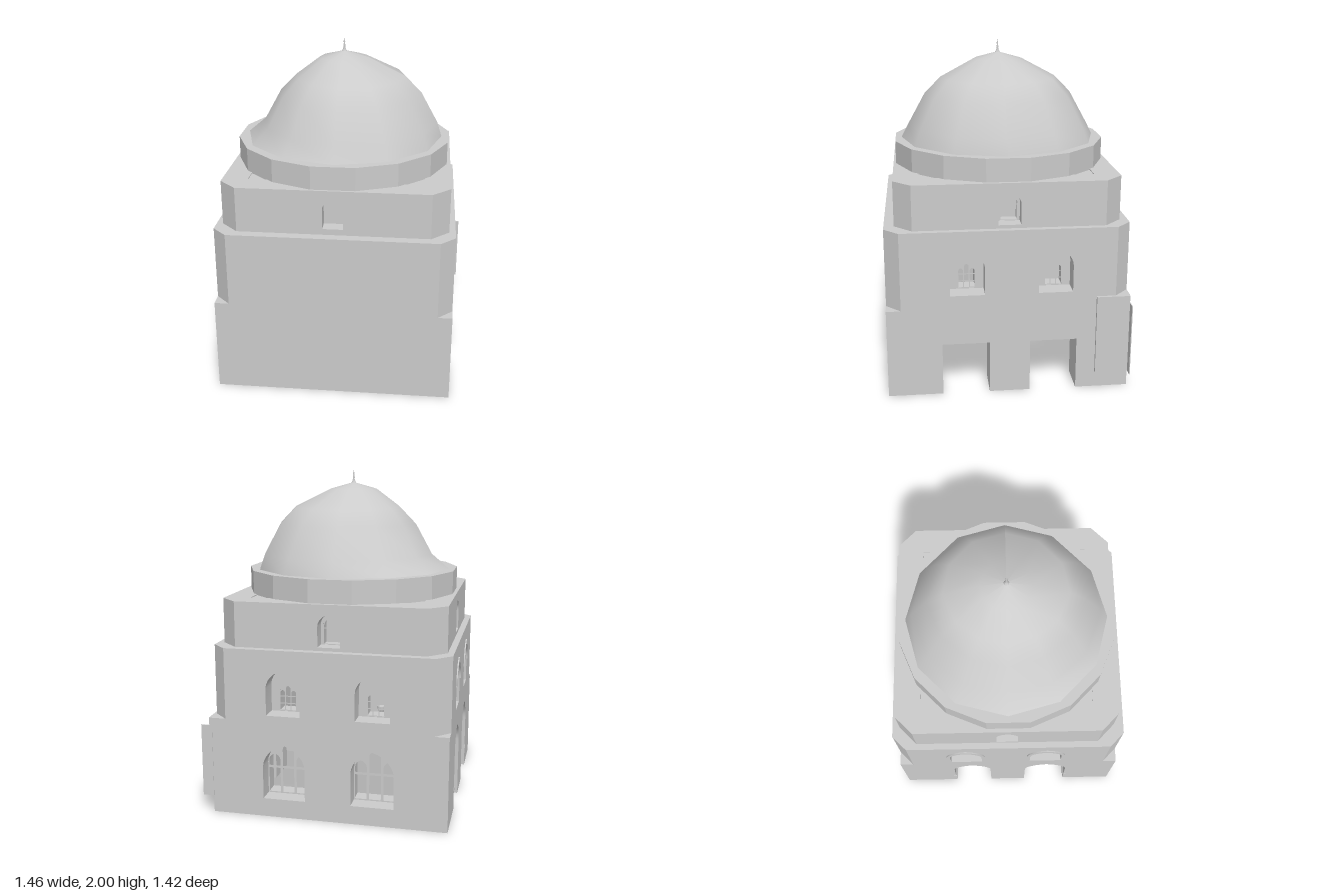
import * as THREE from 'three';
import { toCreasedNormals } from 'three/addons/utils/BufferGeometryUtils.js';

const stone = new THREE.MeshStandardMaterial({ color: 0xcccccc });
const shell = new THREE.MeshStandardMaterial({ color: 0xcccccc, side: THREE.DoubleSide });
const CX = -0.033;

function add(parent, name, geometry, x = 0, y = 0, z = 0, material = stone) {
  const mesh = new THREE.Mesh(geometry, material);
  mesh.name = name;
  mesh.position.set(x, y, z);
  parent.add(mesh);
  return mesh;
}

const box = (parent, name, w, h, d, x, y, z) => add(parent, name, new THREE.BoxGeometry(w, h, d), x, y, z);

const extrude = (shape, depth) =>
  toCreasedNormals(new THREE.ExtrudeGeometry(shape, { depth, bevelEnabled: false }), 0.5);

const lathe = (points, sides) =>
  toCreasedNormals(new THREE.LatheGeometry(points.map((p) => new THREE.Vector2(...p)), sides), 0.6);

// Opening outline, from bottom left over the top to bottom right
function opening({ u, y, w, h, flat }) {
  const rise = flat ? 0 : 0.55 * w, n = flat ? 1 : 12;
  const pts = [new THREE.Vector2(u - w / 2, y)];
  for (let i = 0; i <= n; i++) {
    const a = (Math.PI * i) / n;
    const up = 0.8 * Math.sin(a) + 0.2 * (1 - Math.abs(Math.cos(a)));
    pts.push(new THREE.Vector2(u - (w / 2) * Math.cos(a), y + h - rise + rise * up));
  }
  pts.push(new THREE.Vector2(u + w / 2, y));
  return pts;
}

// Wall panel: doors cut the bottom edge, windows are holes
function panel(w, y0, y1, doors, windows) {
  const pts = [new THREE.Vector2(-w / 2, y0)];
  doors.forEach((d) => pts.push(...opening(d)));
  pts.push(new THREE.Vector2(w / 2, y0), new THREE.Vector2(w / 2, y1), new THREE.Vector2(-w / 2, y1));
  const shape = new THREE.Shape(pts);
  windows.forEach((o) => shape.holes.push(new THREE.Path(opening(o))));
  return shape;
}

// Window tracery: rows of panes under pointed lancets, the middle one taller
function tracery(parent, o, z, cols, rows) {
  const shape = new THREE.Shape(opening(o));
  const spring = o.h - 0.55 * o.w, bar = 0.06 * o.w, cw = o.w / cols;
  const step = (spring * 0.85) / rows;
  for (let c = 0; c < cols; c++) {
    const u = o.u - o.w / 2 + (c + 0.5) * cw;
    const top = spring + (c === (cols - 1) / 2 ? 0.46 : 0.2) * o.w;
    for (let r = 0; r <= rows; r++) {
      const y = o.y + r * step + bar / 2, last = r === rows;
      const h = last ? top - r * step - bar / 2 : step - bar;
      shape.holes.push(new THREE.Path(opening({ u, y, w: cw - bar, h, flat: !last })));
    }
  }
  add(parent, 'windowTracery', extrude(shape, 0.012), 0, 0, z);
}

// Two-layer wall: wide niches outside, small openings inside; faces +z locally
function wall(name, w, y0, y1, t, { doors = [], niches = [], lights = [], through = [], panes = [3, 2] }) {
  const g = new THREE.Group();
  g.name = name;
  const inner = t * 0.45;
  add(g, name + 'Outer', extrude(panel(w, y0, y1, doors, [...niches, ...through]), t - inner), 0, 0, inner - t);
  add(g, name + 'Inner', extrude(panel(w, y0, y1, doors, [...lights, ...through]), inner), 0, 0, -t);
  lights.forEach((o) => tracery(g, o, inner - t - 0.015, ...panes));
  through.forEach((o) => tracery(g, o, -t * 0.55, 3, 1));
  return g;
}

// Corner posts: square below the cut height, chamfered above
function posts(parent, hx, hz, y0, y1, t, c, cuts) {
  const v = [[-t, -t], [0, -t], [0, -c], [-c, 0], [-t, 0]].map((p) => new THREE.Vector2(...p));
  [[1, -1], [-1, -1], [-1, 1], [1, 1]].forEach(([sx, sz], i) => {
    const cut = cuts[i];
    const geo = extrude(new THREE.Shape(v), y1 - cut).rotateX(-Math.PI / 2);
    add(parent, 'chamferedCorner', geo, sx * hx, cut, sz * hz).rotation.y = (i * Math.PI) / 2;
    if (cut > y0) box(parent, 'cornerBase', t, cut - y0, t, sx * (hx - t / 2), (y0 + cut) / 2, sz * (hz - t / 2));
  });
}

// One storey of four walls, ordered front, right, back, left
function storey(parent, name, hx, hz, y0, y1, t, c, cuts, specs) {
  const g = new THREE.Group();
  g.name = name;
  posts(g, hx, hz, y0, y1, t, c, cuts);
  const sides = ['front', 'right', 'back', 'left'].map((side, i) => {
    const along = i % 2 ? hz : hx, out = i % 2 ? hx : hz;
    const wg = wall(side + 'Wall', 2 * (along - t), y0, y1, t, specs[i]);
    wg.rotation.y = (i * Math.PI) / 2;
    wg.position.set(out * Math.sin(wg.rotation.y), 0, out * Math.cos(wg.rotation.y));
    g.add(wg);
    return wg;
  });
  parent.add(g);
  return { group: g, sides };
}

function ring(n, radius, hole) {
  const pts = [];
  for (let i = 0; i < n; i++) {
    const a = (2 * Math.PI * (i + 0.5)) / n;
    pts.push(new THREE.Vector2(radius * Math.cos(a), radius * Math.sin(a)));
  }
  const shape = new THREE.Shape(pts);
  shape.holes.push(new THREE.Path().absarc(0, 0, hole, 0, Math.PI * 2, true));
  return shape;
}

export function createModel() {
  const root = new THREE.Group();
  root.name = 'domedHall';
  const hall = new THREE.Group();
  hall.name = 'hall';
  hall.position.x = CX;
  root.add(hall);

  // Lower storey
  const pair = (o, us) => us.map((u) => ({ ...o, u }));
  const niche = { y: 0.615, w: 0.2, h: 0.27 }, light = { y: 0.62, w: 0.1, h: 0.155 };
  const upper = (us) => ({ niches: pair(niche, us), lights: pair(light, us) });
  const lower = storey(hall, 'lowerStorey', 0.693, 0.708, 0, 1, 0.2, 0.085, [0.58, 0.56, 0.56, 0.535], [
    {},
    { ...upper([-0.24, 0.27]), doors: pair({ y: 0, w: 0.275, h: 0.315, flat: true }, [-0.252, 0.26]) },
    { ...upper([-0.26, 0.26]), through: pair({ y: 0.11, w: 0.25, h: 0.33 }, [-0.26, 0.26]) },
    { ...upper([-0.27, 0.24]), doors: [{ u: -0.242, y: 0, w: 0.245, h: 0.49 }, { u: 0.252, y: 0, w: 0.275, h: 0.49 }] },
  ]).sides;

  // Hood mouldings over the left upper windows, and mouldings on the pier faces
  for (const u of [-0.27, 0.24]) {
    const hood = [...opening({ u, y: 0.76, w: 0.24, h: 0.155 }), ...opening({ u, y: 0.76, w: 0.2, h: 0.125 }).reverse()];
    add(lower[3], 'windowHood', extrude(new THREE.Shape(hood), 0.007));
  }
  for (const u of [-0.37, 0.395]) box(lower[3], 'pierMoulding', 0.02, 0.02, 0.2, u, 0.13, -0.097);

  // Buttress plates at the back right corner
  box(root, 'buttressPlate', 0.018, 0.48, 0.195, 0.668, 0.34, -0.608);
  box(root, 'buttressFin', 0.066, 0.435, 0.005, 0.692, 0.3175, -0.708);

  // Prayer niche inside the front wall
  const mihrab = new THREE.Group();
  mihrab.name = 'prayerNiche';
  mihrab.position.z = 0.5;
  const frame = panel(0.3, 0, 0.47, [{ u: 0, y: 0, w: 0.16, h: 0.4 }], []);
  add(mihrab, 'nicheFrame', extrude(frame, 0.03), 0, 0, -0.02);
  const column = [[0, 0], [0.026, 0], [0.026, 0.03], [0.016, 0.045], [0.014, 0.31], [0.026, 0.34], [0.026, 0.36], [0, 0.36]];
  const columnGeo = lathe(column, 12);
  for (const s of [-1, 1]) add(mihrab, 'nicheColumn', columnGeo, s * 0.1, 0, -0.045);
  const stand = [[0, 0], [0.03, 0], [0.03, 0.03], [0.02, 0.05], [0.02, 0.13], [0.028, 0.14], [0.012, 0.17], [0.012, 0.19], [0, 0.21]];
  add(mihrab, 'nicheStand', lathe(stand, 10), 0, 0, -0.025);
  box(mihrab, 'nicheLedge', 0.2, 0.025, 0.04, 0, 0.48, -0.01);
  hall.add(mihrab);

  // Upper storey
  const side = {
    niches: [{ u: 0, y: 1.02, w: 0.13, h: 0.19 }],
    lights: [{ u: 0, y: 1.022, w: 0.1, h: 0.165 }],
    panes: [1, 1],
  };
  storey(hall, 'upperStorey', 0.656, 0.655, 1, 1.265, 0.15, 0.102, [1, 1, 1, 1], [
    { niches: [{ u: 0, y: 1.035, w: 0.12, h: 0.18 }] }, side, side, side,
  ]).group.position.z = -0.006;

  // Roof slab around the drum, then the sixteen-sided drum
  add(hall, 'roofSlab', extrude(ring(4, 0.73, 0.5), 0.025).rotateX(-Math.PI / 2), 0, 1.235, -0.006);
  add(hall, 'drum', new THREE.ExtrudeGeometry(ring(16, 0.646, 0.56), { depth: 0.145, bevelEnabled: false })
    .rotateX(-Math.PI / 2), 0, 1.256, 0);

  // Twelve-sided dome, pulled in on the -x side and fuller on the +x side
  const profile = [[0.597, 1.4], [0.55, 1.49], [0.45, 1.67], [0.352, 1.77], [0.145, 1.88], [0.001, 1.92]];
  const dome = new THREE.LatheGeometry(profile.map((p) => new THREE.Vector2(...p)), 12, Math.PI / 2);
  const pos = dome.attributes.position;
  for (let i = 0; i < pos.count; i++) {
    const x = pos.getX(i), z = pos.getZ(i), y = pos.getY(i), r = Math.hypot(x, z);
    if (y < 1.45 || y > 1.8) continue;
    const k = 1 + ((x < 0 ? 0.06 : 0.018) * x) / (r * r);
    pos.setX(i, x * k);
    pos.setZ(i, z * k);
  }
  dome.computeVertexNormals();
  add(hall, 'dome', dome, 0, 0, 0, shell);

  // Finial
  const tip = [[0.02, 1.91], [0.01, 1.925], [0.005, 1.94], [0.007, 1.95], [0.003, 1.96], [0.005, 1.972], [0.002, 1.982], [0, 2]];
  add(hall, 'finial', lathe(tip, 8));
  return root;
}
